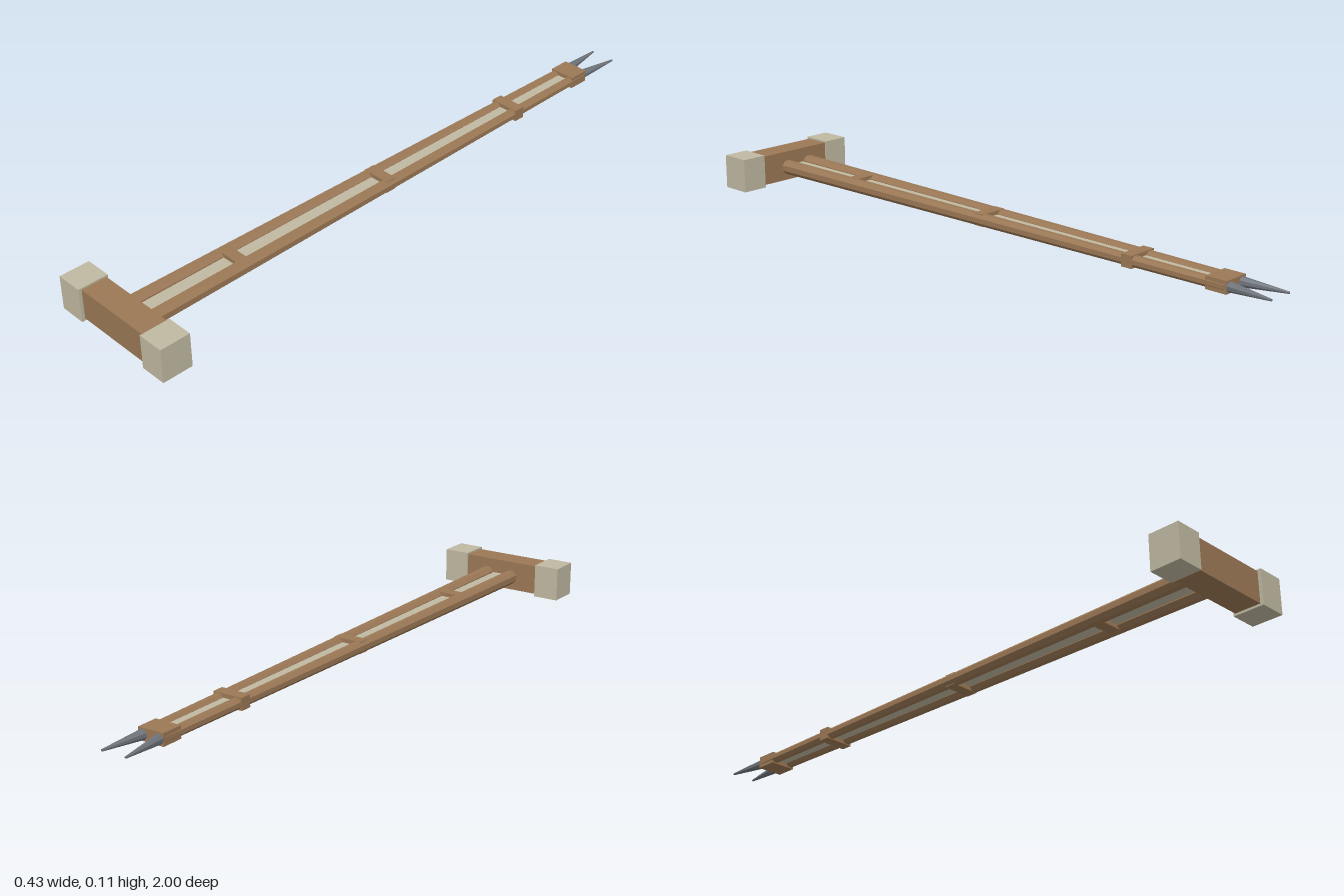
import * as THREE from 'three';

const wood = new THREE.MeshStandardMaterial({ name: 'brownWood', color: 0x9b7855 });
const stone = new THREE.MeshStandardMaterial({ name: 'paleStone', color: 0xbfb8a1 });
const steel = new THREE.MeshStandardMaterial({ name: 'greySteel', color: 0x6e737a });

const AXIS_Y = 0.055; // height of the shaft's centre line

export function createModel() {
  const model = new THREE.Group();
  model.name = 'twoProngedHammer';

  const box = (name, material, size, position) => {
    const mesh = new THREE.Mesh(new THREE.BoxGeometry(...size), material);
    mesh.name = name;
    mesh.position.set(...position);
    model.add(mesh);
  };

  // Tapered eight-sided bar between two [x, z] points; r0 and r1 are half widths across flats
  const bar = (name, material, [x0, z0], [x1, z1], r0, r1) => {
    const a = new THREE.Vector3(x0, AXIS_Y, z0);
    const b = new THREE.Vector3(x1, AXIS_Y, z1);
    const k = 1 / Math.cos(Math.PI / 8);
    const geometry = new THREE.CylinderGeometry(
      r1 * k, r0 * k, a.distanceTo(b), 8, 1, false, Math.PI / 8).toNonIndexed();
    geometry.computeVertexNormals();
    const mesh = new THREE.Mesh(geometry, material);
    mesh.name = name;
    mesh.position.copy(a).add(b).multiplyScalar(0.5);
    mesh.quaternion.setFromUnitVectors(new THREE.Vector3(0, 1, 0), b.sub(a).normalize());
    model.add(mesh);
  };

  // Hammer head
  box('headBlock', wood, [0.27, 0.095, 0.08], [0, 0.0545, 0.95]);

  // Mirrored end caps, shaft rails and prongs
  for (const [side, s] of [['left', 1], ['right', -1]]) {
    box(side + 'HeadCap', stone, [0.083, 0.107, 0.095], [s * 0.1715, 0.0535, 0.9525]);
    bar(side + 'Rail', wood, [s * 0.0445, 0.895], [s * 0.0285, -0.855], 0.0215, 0.0145);
    bar(side + 'Prong', steel, [s * 0.0265, -0.85], [s * 0.0395, -1], 0.0148, 0.003);
  }

  // Pale core between the rails
  box('shaftCore', stone, [0.042, 0.012, 1.74], [0, AXIS_Y, 0.025]);

  // Cross bands: centre z, length and width
  const bands = [
    [0.583, 0.036, 0.09],
    [0.024, 0.036, 0.092],
    [-0.535, 0.036, 0.096],
    [-0.828, 0.068, 0.084],
  ];
  bands.forEach(([z, length, width], i) =>
    box('shaftBand' + (i + 1), wood, [width, 0.037, length], [0, AXIS_Y, z]));

  return model;
}
